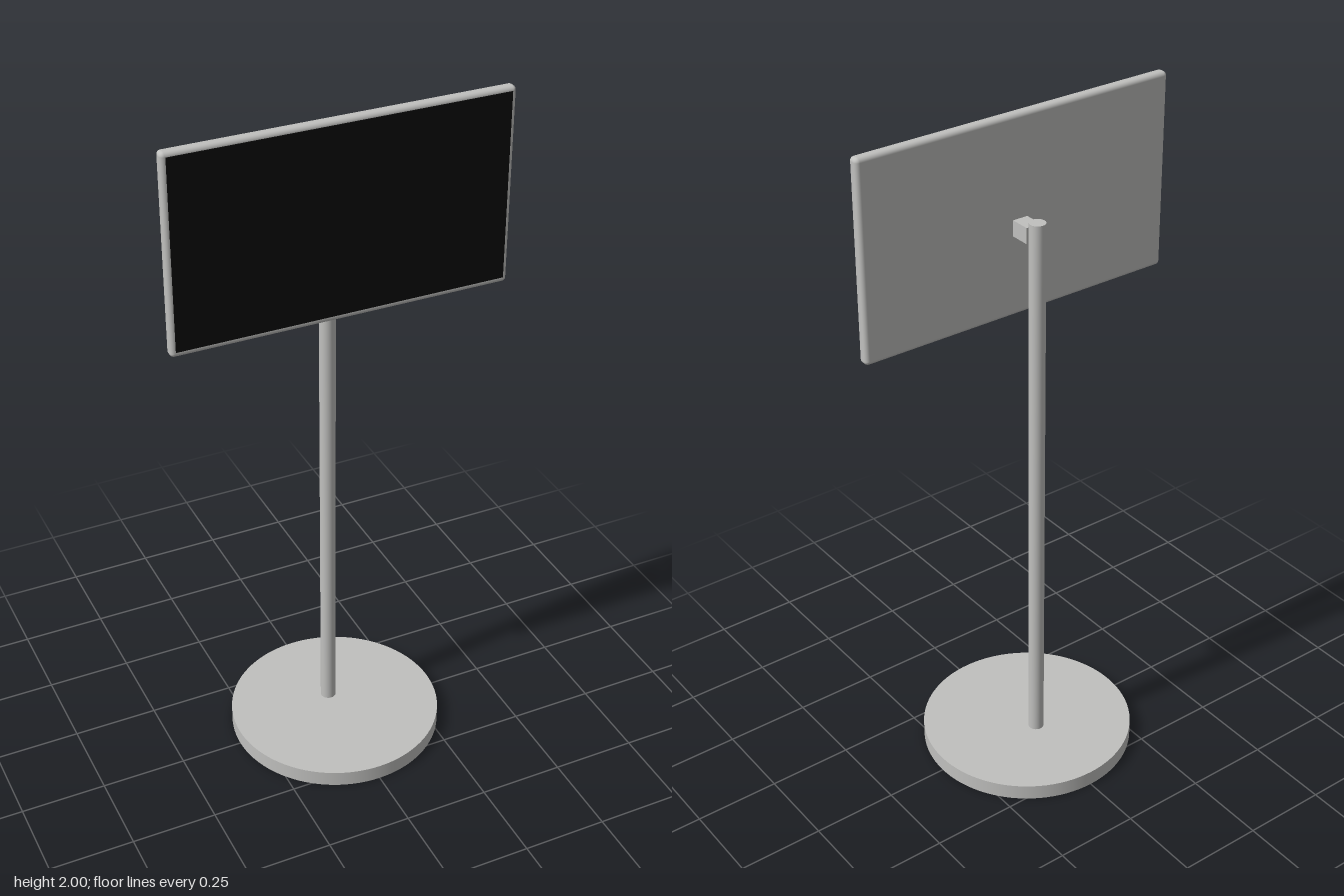
import * as THREE from 'three';
import { RoundedBoxGeometry } from 'three/addons/geometries/RoundedBoxGeometry.js';

export function createModel() {
  const group = new THREE.Group();
  const metal = new THREE.MeshStandardMaterial({ color: 0xc0c0be });
  metal.name = 'silver grey';
  const black = new THREE.MeshStandardMaterial({ color: 0x0a0a0a });
  black.name = 'screen black';

  const add = (name, geometry, material, x, y, z) => {
    const mesh = new THREE.Mesh(geometry, material);
    mesh.name = name;
    mesh.position.set(x, y, z);
    group.add(mesh);
  };

  // Round foot and the pole set slightly behind its centre
  add('base', new THREE.CylinderGeometry(0.315, 0.315, 0.047, 96), metal, 0, 0.0235, 0);
  add('pole', new THREE.CylinderGeometry(0.023, 0.023, 1.69, 48), metal, 0, 0.88, -0.046);

  // Square arm joining the pole to the panel
  add('bracket', new THREE.BoxGeometry(0.046, 0.046, 0.065), metal, 0, 1.687, 0.0025);

  // Rounded panel housing with a thin screen on its front
  add('panel', new RoundedBoxGeometry(0.982, 0.57, 0.034, 5, 0.012), metal, 0, 1.715, 0.046);
  add('screen', new THREE.BoxGeometry(0.954, 0.541, 0.004), black, 0, 1.7175, 0.064);

  return group;
}
